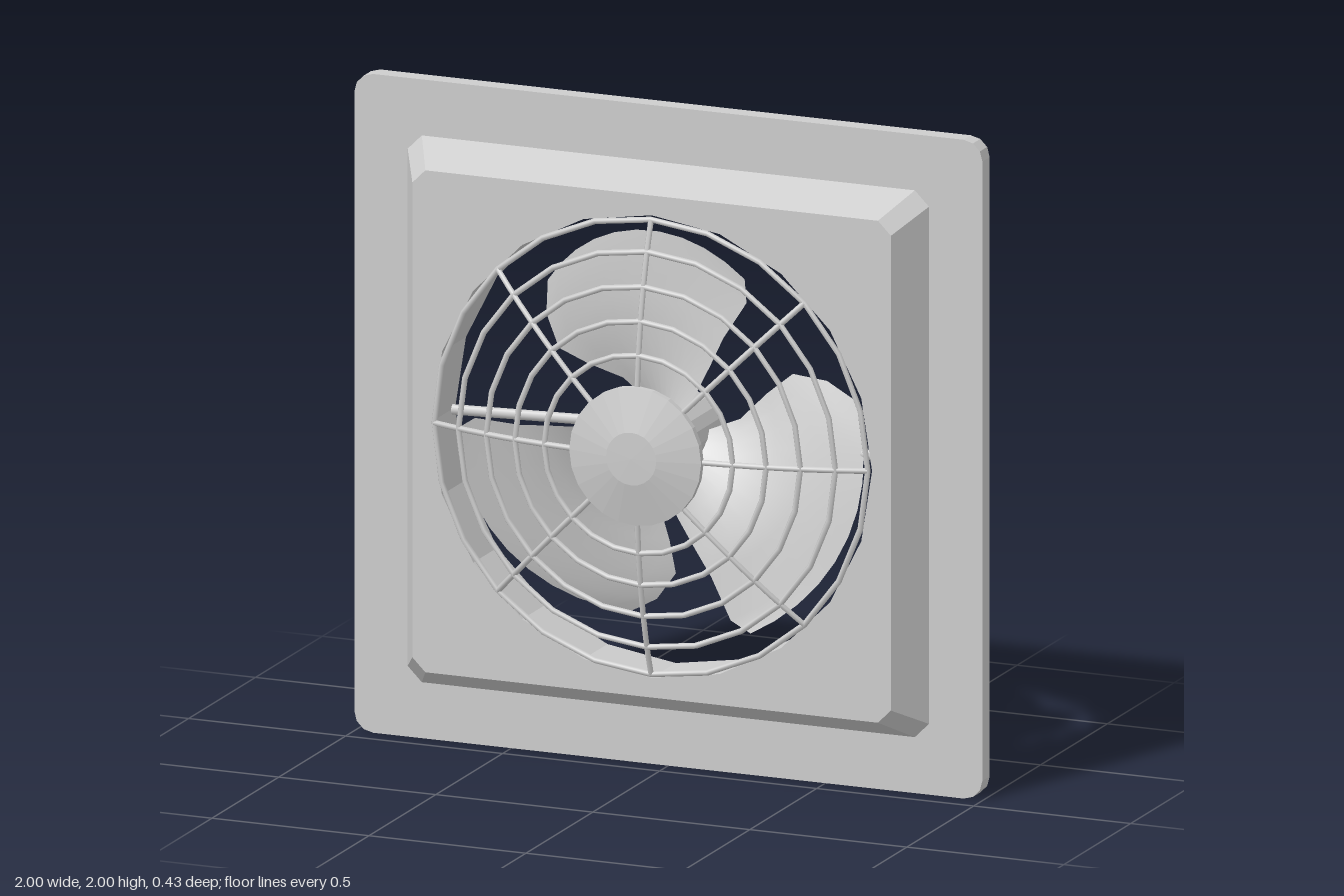
import * as THREE from 'three';

const lightGrey = new THREE.MeshStandardMaterial({ color: 0xcccccc });
lightGrey.name = 'lightGrey';
const bladeGrey = new THREE.MeshStandardMaterial({ color: 0xcccccc, side: THREE.DoubleSide });
bladeGrey.name = 'bladeGrey';

const facet = (g) => {
  const f = g.index ? g.toNonIndexed() : g;
  f.computeVertexNormals();
  return f;
};

const addMesh = (parent, name, geometry, material = lightGrey) => {
  const mesh = new THREE.Mesh(geometry, material);
  mesh.name = name;
  parent.add(mesh);
  return mesh;
};

// Square with rounded corners and a round hole for the fan
function holedSquare(half, corner, steps) {
  const pts = [];
  for (let q = 0; q < 4; q++) {
    const cx = (q === 0 || q === 3 ? 1 : -1) * (half - corner);
    const cy = (q < 2 ? 1 : -1) * (half - corner);
    for (let i = 0; i <= steps; i++) {
      const a = (q + i / steps) * Math.PI / 2;
      pts.push(new THREE.Vector2(cx + corner * Math.cos(a), cy + corner * Math.sin(a)));
    }
  }
  const shape = new THREE.Shape(pts);
  const hole = [];
  for (let i = 0; i < 20; i++) {
    const a = -i * Math.PI / 10;
    hole.push(new THREE.Vector2(0.702 * Math.cos(a), 0.702 * Math.sin(a)));
  }
  shape.holes.push(new THREE.Path(hole));
  return shape;
}

const slab = (shape, z0, z1) =>
  new THREE.ExtrudeGeometry(shape, { depth: z1 - z0, bevelEnabled: false }).translate(0, 0, z0);

// Turned part about the z axis; profile is [radius, z] from back to front
const turned = (profile, sides) =>
  facet(new THREE.LatheGeometry(profile.map(([r, z]) => new THREE.Vector2(r, z)), sides).rotateX(Math.PI / 2));

// Bezel whose outer wall slopes inward to the front
function bezelGeometry() {
  const g = slab(holedSquare(0.83, 0.045, 1), -0.065, 0.06);
  const p = g.attributes.position;
  for (let i = 0; i < p.count; i++) {
    const x = p.getX(i), y = p.getY(i);
    if (p.getZ(i) > 0 && Math.max(Math.abs(x), Math.abs(y)) > 0.75) p.setXY(i, x * 0.918, y * 0.918);
  }
  return facet(g);
}

// Pitched blade: each row gives radius and angle of the front edge, then of the rear edge
function bladeGeometry() {
  const rows = [
    [0.10, 46, 0.10, 130], [0.22, 51, 0.22, 137], [0.33, 55, 0.33, 147],
    [0.42, 57, 0.43, 150], [0.56, 57, 0.52, 143], [0.62, 61, 0.585, 135],
  ];
  const cols = 10, pos = [], idx = [];
  rows.forEach(([r0, a0, r1, a1], j) => {
    const s = j / (rows.length - 1);
    for (let i = 0; i <= cols; i++) {
      const t = i / cols;
      const r = THREE.MathUtils.lerp(r0, r1, t) + 0.03 * s * Math.sin(Math.PI * t);
      const a = THREE.MathUtils.degToRad(THREE.MathUtils.lerp(a0, a1, t));
      const z = THREE.MathUtils.lerp(0.07, -0.135, t) * (0.75 + 0.25 * s);
      pos.push(r * Math.cos(a), r * Math.sin(a), z);
    }
  });
  const w = cols + 1;
  for (let j = 0; j < rows.length - 1; j++) {
    for (let i = 0; i < cols; i++) {
      const a = j * w + i, b = a + 1, c = a + w, d = c + 1;
      idx.push(a, c, b, b, c, d);
    }
  }
  const g = new THREE.BufferGeometry();
  g.setAttribute('position', new THREE.Float32BufferAttribute(pos, 3));
  g.setIndex(idx);
  g.computeVertexNormals();
  return g;
}

export function createModel() {
  const model = new THREE.Group();
  model.name = 'wallFan';
  const body = new THREE.Group();
  body.name = 'fanBody';
  body.position.y = 1;
  model.add(body);

  // Housing
  addMesh(body, 'mountingPlate', facet(slab(holedSquare(1, 0.06, 3), -0.12, -0.065)));
  addMesh(body, 'bezel', bezelGeometry());

  // Domed wire guard
  const guard = new THREE.Group();
  guard.name = 'guard';
  body.add(guard);
  const dome = [[0.69, 0.064], [0.6, 0.095], [0.5, 0.122], [0.4, 0.143], [0.3, 0.158]];
  dome.forEach(([r, z], i) => {
    addMesh(guard, 'guardRing' + (i + 1), new THREE.TorusGeometry(r, 0.009, 6, 24)).position.z = z;
  });
  const path = new THREE.CatmullRomCurve3(
    [...dome, [0.18, 0.17]].map(([r, z]) => new THREE.Vector3(r, 0, z)));
  const spoke = new THREE.TubeGeometry(path, 8, 0.009, 6, false);
  for (let i = 0; i < 8; i++) {
    addMesh(guard, 'guardSpoke' + (i + 1), spoke).rotation.z = i * Math.PI / 4;
  }
  addMesh(guard, 'guardCap',
    turned([[0, 0.163], [0.21, 0.163], [0.21, 0.183], [0.08, 0.213], [0, 0.215]], 24));

  // Motor and its two struts
  addMesh(body, 'motor',
    turned([[0, -0.218], [0.078, -0.218], [0.118, -0.19], [0.118, 0.08], [0, 0.08]], 20));
  for (const side of [-1, 1]) {
    const line = new THREE.LineCurve3(
      new THREE.Vector3(side * 0.09, 0, -0.165), new THREE.Vector3(side * 0.7, 0, -0.095));
    addMesh(body, side > 0 ? 'leftStrut' : 'rightStrut', new THREE.TubeGeometry(line, 1, 0.016, 8, false));
  }

  // Three blades
  const blade = bladeGeometry();
  for (let i = 0; i < 3; i++) {
    addMesh(body, 'blade' + (i + 1), blade, bladeGrey).rotation.z = i * Math.PI * 2 / 3;
  }
  return model;
}
